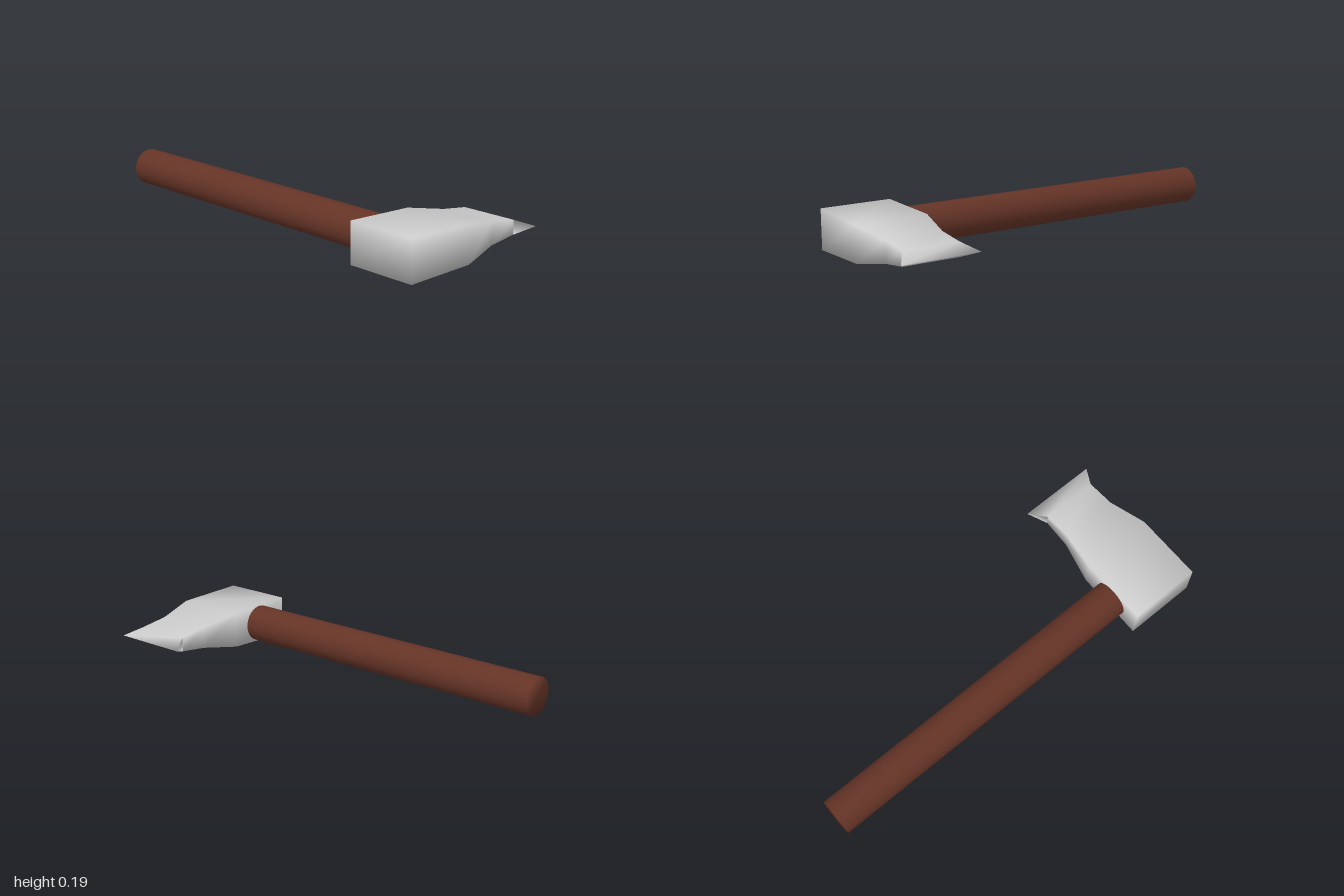
import * as THREE from 'three';
import { mergeVertices } from 'three/addons/utils/BufferGeometryUtils.js';

// Weld all corners so the shading runs smoothly over every edge
function soften(geometry) {
  geometry.deleteAttribute('uv');
  geometry.deleteAttribute('normal');
  const welded = mergeVertices(geometry, 1e-4);
  welded.computeVertexNormals();
  return welded;
}

// Head cross-sections from striking face to wedge: [z, xMin, xMax, yMin, yMax]
const SECTIONS = [
  [0.377, 0.637, 0.983, 0.0, 0.191],
  [0.04, 0.636, 0.988, 0.011, 0.182],
  [-0.15, 0.673, 0.947, 0.045, 0.148],
  [-0.29, 0.673, 0.947, 0.063, 0.13],
  [-0.377, 0.62, 1.0, 0.096, 0.096],
];

function headGeometry() {
  const n = SECTIONS.length - 1;
  const geometry = new THREE.BoxGeometry(1, 1, n, 1, 1, n);
  const p = geometry.attributes.position;
  for (let i = 0; i < p.count; i++) {
    const [z, x0, x1, y0, y1] = SECTIONS[Math.round(n / 2 - p.getZ(i))];
    p.setXYZ(i, p.getX(i) < 0 ? x0 : x1, p.getY(i) < 0 ? y0 : y1, z);
  }
  return soften(geometry);
}

export function createModel() {
  const group = new THREE.Group();
  group.name = 'hammer';

  // Steel head, flared into a thin wedge at the back
  const head = new THREE.Mesh(
    headGeometry(),
    new THREE.MeshStandardMaterial({ color: 0xcccccc, side: THREE.DoubleSide })
  );
  head.name = 'head';
  group.add(head);

  // Round wooden handle, its inner end buried in the head
  const handleLength = 1.7;
  const handle = new THREE.Mesh(
    soften(new THREE.CylinderGeometry(0.088, 0.088, handleLength, 32)),
    new THREE.MeshStandardMaterial({ color: 0x643326 })
  );
  handle.name = 'handle';
  handle.rotation.z = -Math.PI / 2;
  handle.position.set(-1 + handleLength / 2, 0.097, 0.208);
  group.add(handle);

  return group;
}
